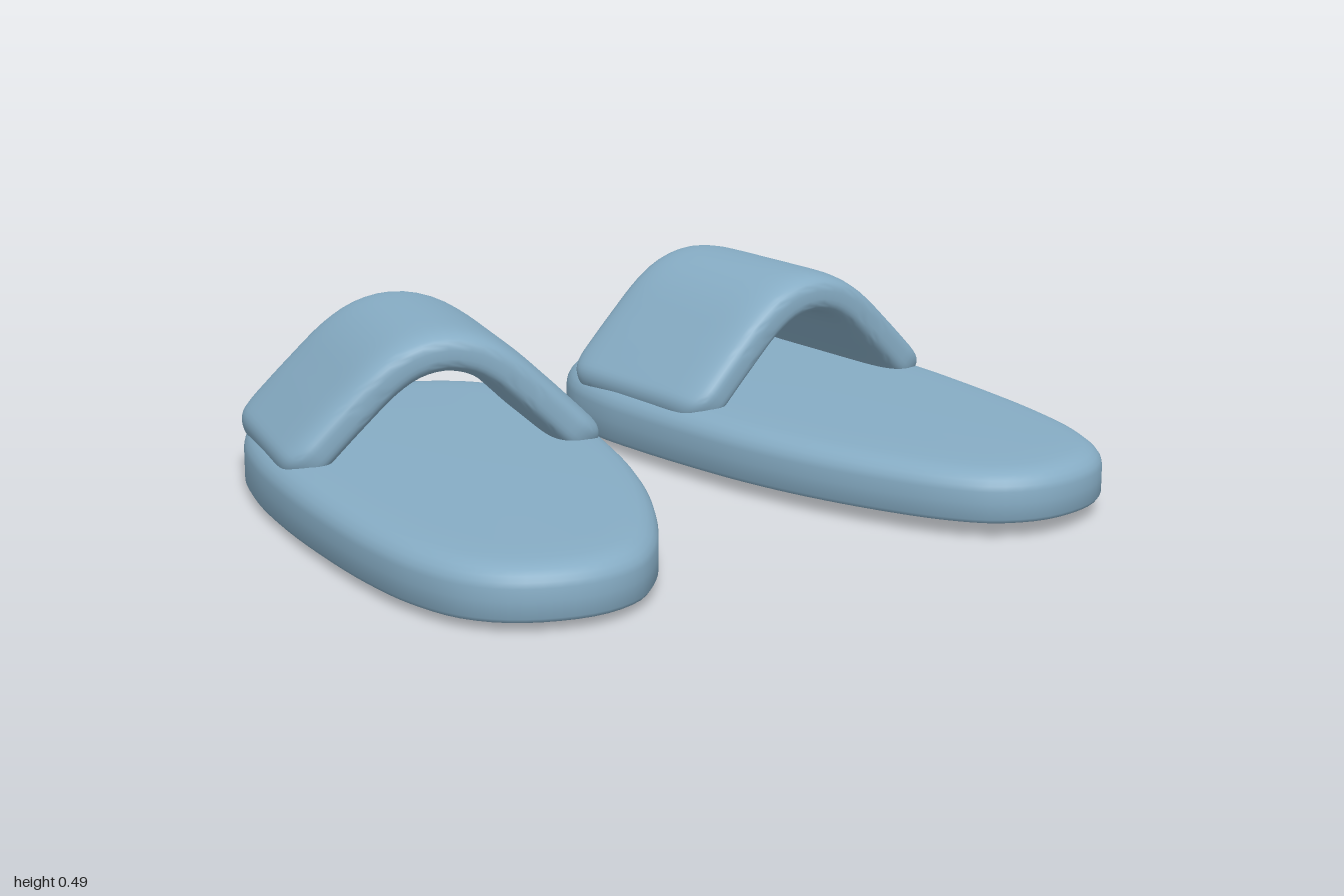
import * as THREE from 'three';
import { toCreasedNormals } from 'three/addons/utils/BufferGeometryUtils.js';

const material = new THREE.MeshStandardMaterial({ color: 0x86acc4 });

// Skin a stack of closed rings and cap both ends with a fan
function loft(rings) {
  const n = rings[0].length, m = rings.length;
  const points = rings.flat(), index = [];
  const middle = ring => ring.reduce((sum, p) => sum.add(p), new THREE.Vector3()).divideScalar(n);
  points.push(middle(rings[0]), middle(rings[m - 1]));
  for (let j = 0; j < n; j++) {
    const k = (j + 1) % n, top = (m - 1) * n;
    for (let i = 0; i < m - 1; i++) {
      const a = i * n, b = a + n;
      index.push(a + j, a + k, b + k, a + j, b + k, b + j);
    }
    index.push(m * n, k, j, m * n + 1, top + j, top + k);
  }
  const geometry = new THREE.BufferGeometry().setFromPoints(points);
  geometry.setIndex(index);
  return toCreasedNormals(geometry, 0.8);
}

// Sole outline (x, z) of the right foot: toe, outer side, heel, inner side
const OUTLINE = [
  [-0.01, -0.84], [-0.17, -0.81], [-0.3, -0.71], [-0.39, -0.55], [-0.44, -0.35], [-0.465, -0.1],
  [-0.47, 0.15], [-0.46, 0.4], [-0.43, 0.6], [-0.37, 0.75], [-0.27, 0.84], [-0.1, 0.88],
  [0.03, 0.84], [0.12, 0.75], [0.21, 0.6], [0.3, 0.4], [0.365, 0.2], [0.41, 0],
  [0.445, -0.2], [0.465, -0.38], [0.45, -0.56], [0.36, -0.71], [0.18, -0.81],
];

// Sole edge profile: inset from the outline, share of the thickness
const EDGE = [
  [0.02, 0], [0.006, 0.03], [0, 0.1], [0, 0.4], [0, 0.62], [0.004, 0.72], [0.013, 0.81],
  [0.027, 0.89], [0.046, 0.945], [0.075, 0.975], [0.12, 0.99], [0.17, 1],
];

function soleGeometry(side) {
  const curve = new THREE.CatmullRomCurve3(
    OUTLINE.map(([x, z]) => new THREE.Vector3(x, 0, z)), true);
  const count = 110;
  const rings = EDGE.map(([inset, level]) => {
    const ring = [];
    for (let j = 0; j < count; j++) {
      const p = curve.getPointAt(j / count), t = curve.getTangentAt(j / count);
      const x = p.x + t.z * inset, z = p.z - t.x * inset;
      // the sole thins and lifts slightly toward the heel
      const back = (z + 0.84) / 1.72;
      const y = 0.02 * back + level * (0.165 - 0.03 * back);
      ring.push(new THREE.Vector3(-side * x, y, z));
    }
    return side > 0 ? ring.reverse() : ring;
  });
  return loft(rings);
}

// Padded strap: a rounded slab swept along an arch
function strapGeometry() {
  const half = [[0.405, 0.115], [0.38, 0.14], [0.335, 0.185], [0.25, 0.268], [0.15, 0.358], [0.08, 0.398]];
  const path = new THREE.CatmullRomCurve3([
    ...half.map(([x, y]) => new THREE.Vector3(-x, y, 0)),
    new THREE.Vector3(0, 0.413, 0),
    ...half.map(([x, y]) => new THREE.Vector3(x, y, 0)).reverse(),
  ]);
  const length = path.getLength(), steps = 56, sides = 48, rings = [];
  const power = (v, e) => Math.sign(v) * Math.abs(v) ** e;
  // quarter-circle rounding: 0 at the tip, 1 beyond radius r
  const round = (d, r) => (d >= r ? 1 : Math.sqrt(1 - (1 - d / r) ** 2));
  for (let i = 0; i <= steps; i++) {
    const u = 0.5 - 0.5 * Math.cos(Math.PI * i / steps);
    const p = path.getPointAt(u), t = path.getTangentAt(u);
    const d = Math.min(u, 1 - u) * length;
    const width = 0.287 - 0.1 * (1 - round(d, 0.1));
    const thick = 0.057 * Math.max(0.12, round(d, 0.05));
    const ring = [];
    for (let j = 0; j < sides; j++) {
      const a = (j + 0.5) / sides * Math.PI * 2;
      const w = width * power(Math.cos(a), 0.32), n = -thick * power(Math.sin(a), 0.6);
      ring.push(new THREE.Vector3(p.x - t.y * n, p.y + t.x * n, w));
    }
    rings.push(ring);
  }
  return loft(rings);
}

function makeSandal(side) {
  const sandal = new THREE.Group();
  const sole = new THREE.Mesh(soleGeometry(side), material);
  sole.name = 'sole';
  const strap = new THREE.Mesh(strapGeometry(), material);
  strap.name = 'strap';
  strap.position.set(side * -0.01, 0, -0.33);
  strap.rotation.y = side * 0.14;
  sandal.add(sole, strap);
  return sandal;
}

export function createModel() {
  const model = new THREE.Group();
  model.name = 'sandals';
  const right = makeSandal(-1);
  right.name = 'rightSandal';
  right.position.set(-0.53, 0, 0);
  // the left sandal lies slightly turned and further forward on its toe
  const left = makeSandal(1);
  left.name = 'leftSandal';
  left.position.set(0.522, 0.018, -0.05);
  left.rotation.y = 0.03;
  model.add(right, left);
  return model;
}
